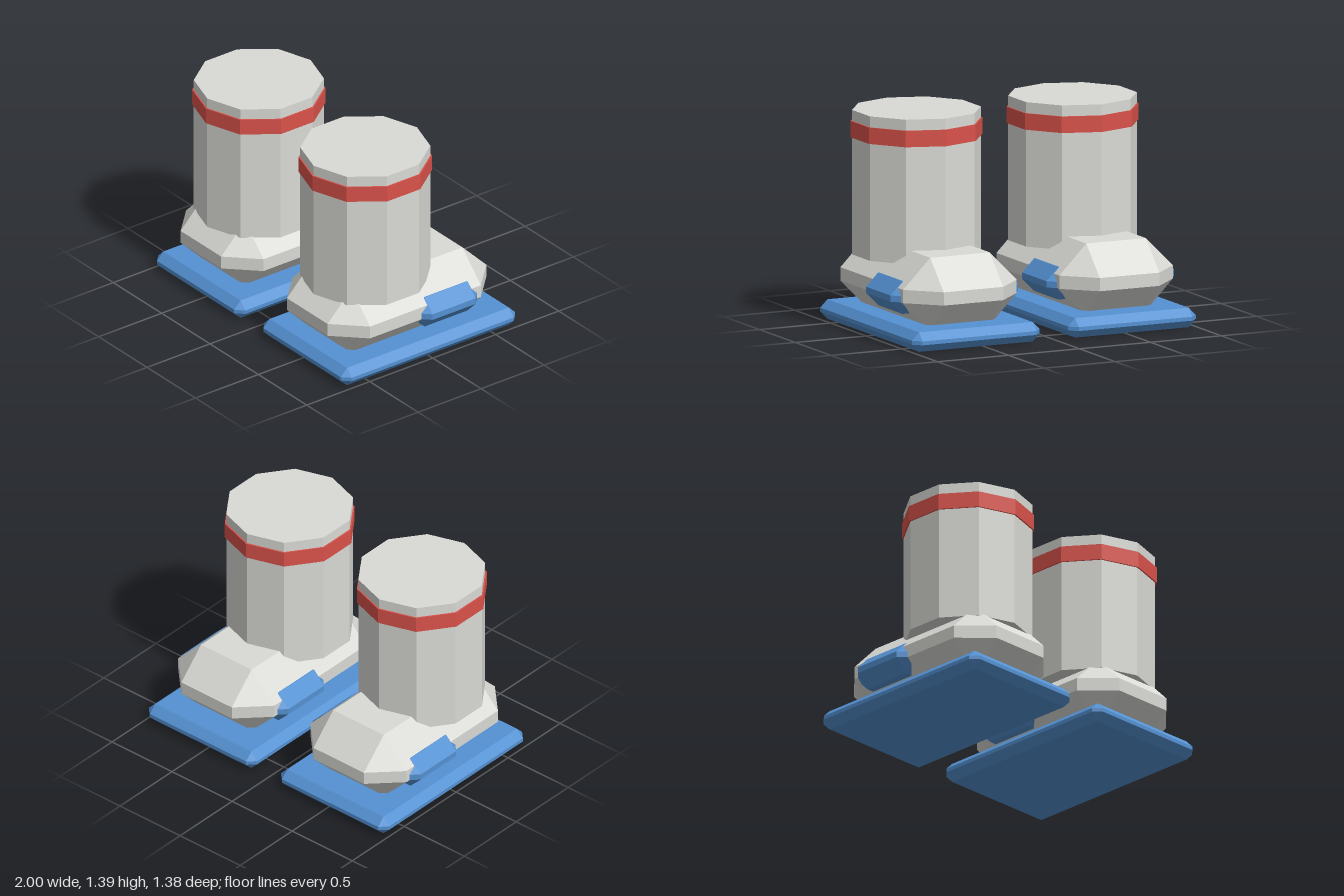
import * as THREE from 'three';
import { ConvexGeometry } from 'three/addons/geometries/ConvexGeometry.js';

const grey = new THREE.MeshStandardMaterial({ color: 0xd9dad5, flatShading: true, name: 'lightGrey' });
const blue = new THREE.MeshStandardMaterial({ color: 0x5491d2, flatShading: true, name: 'blue' });
const red = new THREE.MeshStandardMaterial({ color: 0xd9524a, flatShading: true, name: 'red' });

// Box with every edge and corner cut at 45 degrees; w, h, d are full sizes
function chamferedBox(w, h, d, bevel) {
  const points = [];
  const x = w / 2, y = h / 2, z = d / 2;
  for (const sx of [-1, 1]) for (const sy of [-1, 1]) for (const sz of [-1, 1]) {
    points.push(
      new THREE.Vector3(sx * x, sy * (y - bevel), sz * (z - bevel)),
      new THREE.Vector3(sx * (x - bevel), sy * y, sz * (z - bevel)),
      new THREE.Vector3(sx * (x - bevel), sy * (y - bevel), sz * z),
    );
  }
  return new ConvexGeometry(points);
}

// Ten-sided upright prism
function prism(radius, bottom, top) {
  return new THREE.CylinderGeometry(radius, radius, top - bottom, 10).translate(0, (bottom + top) / 2, 0);
}

function addPart(parent, name, geometry, material, y, z) {
  const mesh = new THREE.Mesh(geometry, material);
  mesh.name = name;
  mesh.position.set(0, y, z);
  parent.add(mesh);
}

function createBoot(name, x) {
  const boot = new THREE.Group();
  boot.name = name;
  boot.position.x = x;
  // Foot
  addPart(boot, 'sole', chamferedBox(0.9, 0.125, 1.385, 0.05), blue, 0.0625, 0);
  addPart(boot, 'foot', chamferedBox(0.8, 0.465, 1.26, 0.19), grey, 0.3175, 0.02);
  addPart(boot, 'sideBlock', chamferedBox(0.9, 0.21, 0.51, 0.085), blue, 0.295, -0.17);
  // Leg
  addPart(boot, 'shaft', prism(0.41, 0.465, 1.39), grey, 0, 0.19);
  addPart(boot, 'band', prism(0.42, 1.215, 1.32), red, 0, 0.19);
  return boot;
}

export function createModel() {
  const model = new THREE.Group();
  model.name = 'boots';
  model.add(createBoot('leftBoot', 0.55), createBoot('rightBoot', -0.55));
  return model;
}
